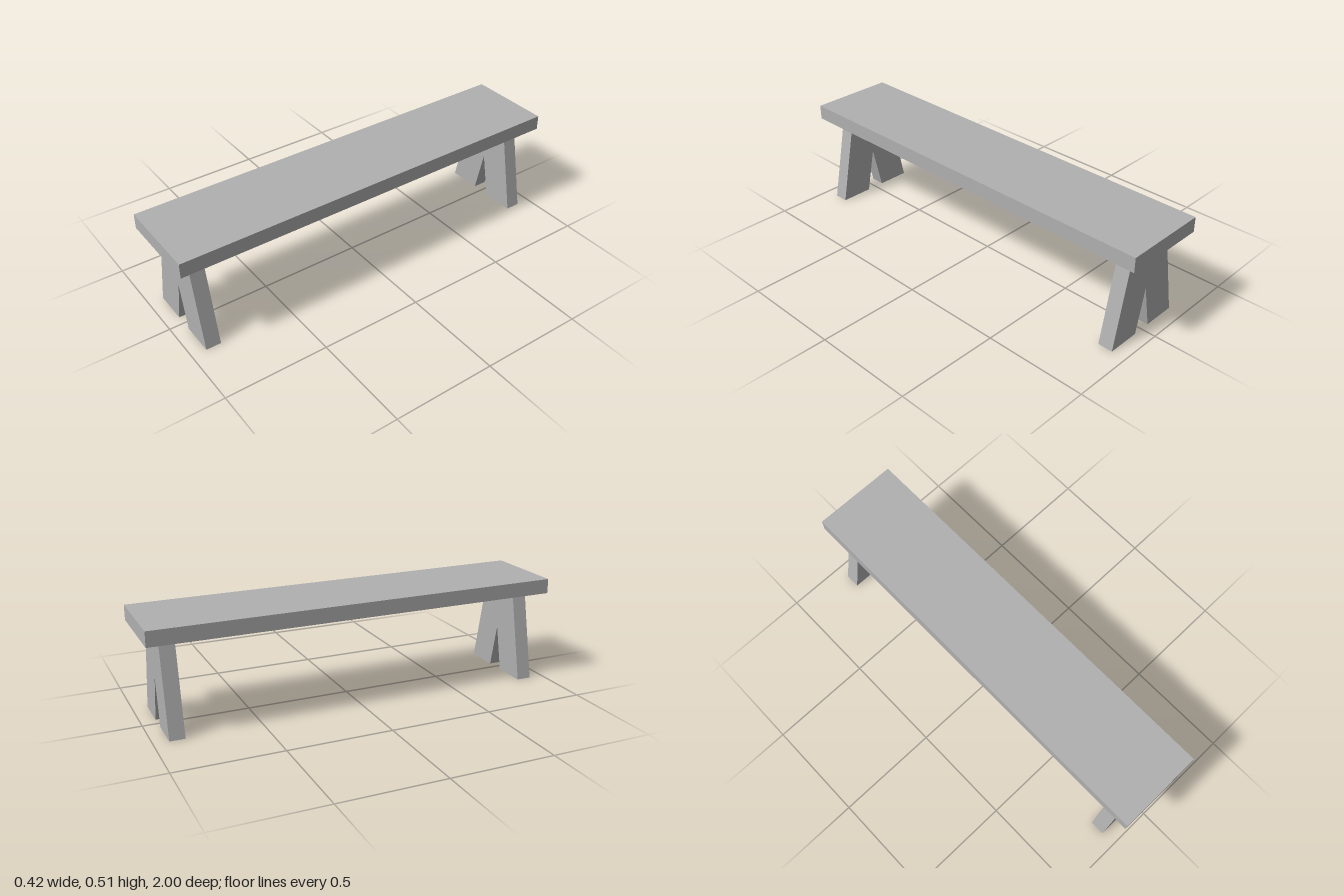
import * as THREE from 'three';

export function createModel() {
  const group = new THREE.Group();
  const grey = new THREE.MeshStandardMaterial({ color: 0xb0b0b0 });
  grey.name = 'grey';

  // Plank seat
  const seatBottom = 0.437, thickness = 0.072;
  const seat = new THREE.Mesh(new THREE.BoxGeometry(0.418, thickness, 2), grey);
  seat.name = 'seat';
  seat.position.y = seatBottom + thickness / 2;
  group.add(seat);

  // Tapered board leg with a V notch cut up from the floor
  const outline = [
    [-0.209, 0], [-0.046, 0], [0, 0.219], [0.046, 0],
    [0.209, 0], [0.118, seatBottom], [-0.118, seatBottom],
  ].map(([x, y]) => new THREE.Vector2(x, y));
  const legGeometry = new THREE.ExtrudeGeometry(new THREE.Shape(outline), {
    depth: thickness, bevelEnabled: false,
  });
  legGeometry.translate(0, 0, -thickness / 2);

  // One leg board near each end
  for (const [name, z] of [['frontLeg', 0.893], ['backLeg', -0.893]]) {
    const leg = new THREE.Mesh(legGeometry, grey);
    leg.name = name;
    leg.position.z = z;
    group.add(leg);
  }
  return group;
}
